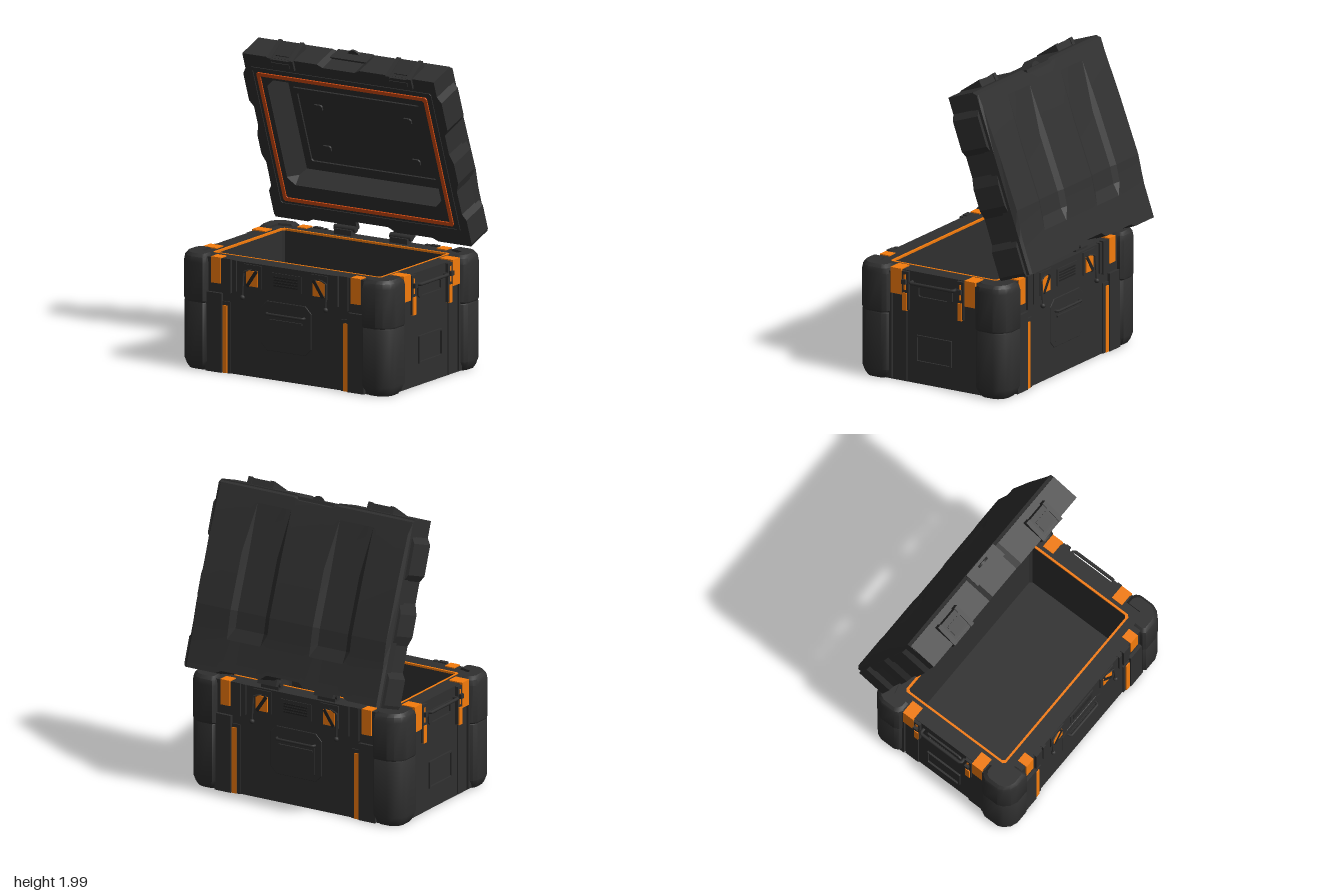
import * as THREE from 'three';
import { toCreasedNormals } from 'three/addons/utils/BufferGeometryUtils.js';

const dark = new THREE.MeshStandardMaterial({ color: 0x303030 });
const darkThin = new THREE.MeshStandardMaterial({ color: 0x303030, side: THREE.DoubleSide });
const black = new THREE.MeshStandardMaterial({ color: 0x222222 });
const orange = new THREE.MeshStandardMaterial({ color: 0xf57c0c });
const rust = new THREE.MeshStandardMaterial({ color: 0xd84c10 });

function add(parent, name, geo, mat, x = 0, y = 0, z = 0) {
  const m = new THREE.Mesh(geo, mat);
  m.name = name;
  m.position.set(x, y, z);
  parent.add(m);
  return m;
}
const box = (p, name, w, h, d, x, y, z, mat = dark) => add(p, name, new THREE.BoxGeometry(w, h, d), mat, x, y, z);
const vec2s = list => list.map(([x, y]) => new THREE.Vector2(x, y));

function group(parent, name) {
  const g = new THREE.Group();
  g.name = name;
  parent.add(g);
  return g;
}

// Rectangle with cut corners, as a list of points
function cutRect(w, h, c, cy = 0) {
  const a = w / 2, b = h / 2;
  return vec2s([[-a + c, -b], [a - c, -b], [a, -b + c], [a, b - c], [a - c, b], [-a + c, b], [-a, b - c], [-a, -b + c]]
    .map(([x, y]) => [x, y + cy]));
}

function plate(outline, holes, depth, bevel = 0) {
  const s = new THREE.Shape(outline);
  holes.forEach(h => s.holes.push(new THREE.Path(h)));
  return new THREE.ExtrudeGeometry(s, {
    depth, bevelEnabled: bevel > 0, bevelSize: bevel, bevelThickness: bevel, bevelOffset: -bevel, bevelSegments: 2,
  });
}

// Stack of horizontal sections: levels are [y, scale about (cx, cz)]
function loft(points, levels, cx, cz) {
  const pts = THREE.ShapeUtils.isClockWise(points) ? points.slice() : points.slice().reverse();
  const n = pts.length, pos = [], idx = [];
  levels.forEach(([y, s]) => pts.forEach(p => pos.push(cx + (p.x - cx) * s, y, cz + (p.y - cz) * s)));
  for (let l = 0; l < levels.length - 1; l++) {
    for (let i = 0; i < n; i++) {
      const a = l * n + i, b = l * n + (i + 1) % n;
      idx.push(a, b, b + n, a, b + n, a + n);
    }
  }
  const top = (levels.length - 1) * n;
  THREE.ShapeUtils.triangulateShape(pts, []).forEach(t => {
    const f = THREE.ShapeUtils.isClockWise(t.map(i => pts[i])) ? t : [t[0], t[2], t[1]];
    idx.push(top + f[0], top + f[1], top + f[2], f[0], f[2], f[1]);
  });
  const g = new THREE.BufferGeometry();
  g.setAttribute('position', new THREE.Float32BufferAttribute(pos, 3));
  g.setIndex(idx);
  return toCreasedNormals(g, 0.6);
}

function tube(points, r) {
  const curve = new THREE.CatmullRomCurve3(points.map(p => new THREE.Vector3(...p)), false, 'catmullrom', 0.1);
  return new THREE.TubeGeometry(curve, 32, r, 8);
}

// Fittings of a long wall, built facing +z
function longWall(g, z) {
  for (const s of [-1, 1]) {
    box(g, 'rimClip', 0.07, 0.168, 0.07, s * 0.525, 0.653, z - 0.027, orange);
    box(g, 'wideRib', 0.06, 0.22, 0.03, s * 0.44, 0.628, z);
    box(g, 'narrowRib', 0.025, 0.2, 0.025, s * 0.383, 0.635, z);
    box(g, 'stripFrame', 0.065, 0.46, 0.016, s * 0.447, 0.23, z);
    box(g, 'lowerPad', 0.12, 0.51, 0.04, s * 0.535, 0.255, z);
    box(g, 'colourStrip', 0.033, 0.435, 0.03, s * 0.455, 0.2185, z, orange);
    box(g, 'latchSeat', 0.13, 0.15, 0.016, s * 0.25, 0.645, z);
    box(g, 'latchCatch', 0.085, 0.1, 0.03, s * 0.25, 0.633, z, orange);
    box(g, 'catchBar', 0.022, 0.125, 0.038, s * 0.25, 0.633, z, black).rotation.z = s * 0.6;
    add(g, 'latchBail', tube([[s * 0.25, 0.69, z + 0.005], [s * 0.31, 0.67, z + 0.015], [s * 0.313, 0.51, z + 0.026]], 0.006), dark);
    add(g, 'bailKnob', new THREE.SphereGeometry(0.016, 12, 8), dark, s * 0.313, 0.508, z + 0.026);
  }
  add(g, 'centrePanel', plate(cutRect(0.38, 0.32, 0.045, 0.345), [], 0.004, 0.004), dark, 0, 0, z - 0.004);
  add(g, 'gripRecess', plate(cutRect(0.28, 0.2, 0.01, 0.32), [], 0.003), dark, 0, 0, z + 0.003);
  add(g, 'gripLip', tube([[-0.14, 0.425, z], [-0.13, 0.425, z + 0.025], [0.13, 0.425, z + 0.025], [0.14, 0.425, z]], 0.009), dark);
  box(g, 'lowerLip', 0.25, 0.012, 0.02, 0, 0.385, z + 0.006);
  box(g, 'ventFrame', 0.23, 0.11, 0.012, 0, 0.635, z);
  for (let i = 0; i < 4; i++) box(g, 'ventSlat', 0.18, 0.009, 0.02, 0, 0.61 + i * 0.018, z, black);
}

// Fittings of an end wall, built facing +z
function endWall(g, z) {
  for (const s of [-1, 1]) {
    box(g, 'rimClip', 0.08, 0.168, 0.1, s * 0.275, 0.653, z - 0.032, orange);
    box(g, 'sideRib', 0.035, 0.7, 0.034, s * 0.325, 0.36, z);
    box(g, 'sidePad', 0.1, 0.56, 0.018, s * 0.25, 0.285, z);
    box(g, 'handleMount', 0.05, 0.25, 0.04, s * 0.205, 0.6, z);
    box(g, 'mountTab', 0.032, 0.115, 0.054, s * 0.205, 0.528, z, orange);
    box(g, 'mountStripe', 0.014, 0.1, 0.046, s * 0.205, 0.655, z, orange);
    box(g, 'mountLug', 0.03, 0.03, 0.08, s * 0.205, 0.66, z);
  }
  add(g, 'handlePanel', plate(cutRect(0.28, 0.09, 0.015, 0.61), [cutRect(0.22, 0.065, 0.01, 0.607)], 0.012), dark, 0, 0, z);
  add(g, 'carryHandle', tube([[-0.16, 0.66, z - 0.01], [-0.155, 0.66, z + 0.036], [0.155, 0.66, z + 0.036], [0.16, 0.66, z - 0.01]], 0.011), dark);
  add(g, 'squareFrame', plate(cutRect(0.262, 0.178, 0.004, 0.23), [cutRect(0.24, 0.156, 0.004, 0.23)], 0.012), dark, 0, 0, z);
}

function buildBase(root) {
  const base = group(root, 'base');
  base.position.z = 0.075;
  const cavity = cutRect(1.24, 0.77, 0.015);
  add(base, 'walls', plate(cutRect(1.476, 1.02, 0.05), [cavity], 0.73), dark).rotation.x = -Math.PI / 2;
  box(base, 'floor', 1.3, 0.06, 0.83, 0, 0.031, 0);
  const seal = add(base, 'rimSeal', plate(cutRect(1.265, 0.795, 0.015), [cutRect(1.236, 0.766, 0.015)], 0.013), orange, 0, 0.719, 0);
  seal.rotation.x = -Math.PI / 2;

  // Corner bumpers, in a lower and an upper piece
  const corner = [[0.585, 0.46], [0.585, 0.535], [0.6, 0.553], [0.695, 0.553], [0.74, 0.535], [0.775, 0.5],
    [0.79, 0.465], [0.79, 0.36], [0.775, 0.33], [0.74, 0.31], [0.69, 0.31], [0.69, 0.43]];
  for (const sx of [-1, 1]) for (const sz of [-1, 1]) {
    const pts = vec2s(corner.map(([x, z]) => [sx * x, sz * z]));
    add(base, 'lowerBumper', loft(pts, [[0, 0.68], [0.02, 0.82], [0.06, 0.97], [0.43, 0.97], [0.438, 0.94]], sx * 0.69, sz * 0.445), dark);
    add(base, 'upperBumper', loft(pts, [[0.436, 0.95], [0.446, 1], [0.69, 1], [0.725, 0.93], [0.745, 0.75]], sx * 0.69, sz * 0.445), dark);
  }
  for (let i = 0; i < 2; i++) {
    const long = group(base, i ? 'backFittings' : 'frontFittings');
    long.rotation.y = i * Math.PI;
    longWall(long, 0.51);
    const end = group(base, i ? 'rightFittings' : 'leftFittings');
    end.rotation.y = Math.PI / 2 + i * Math.PI;
    endWall(end, 0.738);
  }
}

// Side profile swept along x; profile points are [z, y]
function sweepX(profile, width) {
  const g = plate(vec2s(profile), [], width);
  g.rotateY(-Math.PI / 2);
  g.translate(width / 2, 0, 0);
  return g;
}

// Lid: local y runs from hinge to front edge, local -z is the outside
function buildLid(root) {
  const lid = group(root, 'lid');
  lid.position.set(-0.01, 0.77, -0.413);
  lid.rotation.x = 0.34;

  const half = [[0.12, 0.05], [0.17, 0.02], [0.45, 0.02], [0.49, 0], [0.735, 0], [0.743, 0.02], [0.743, 0.19], [0.718, 0.23],
    [0.716, 0.4], [0.74, 0.46], [0.74, 0.6], [0.718, 0.67], [0.718, 0.81], [0.746, 0.85], [0.746, 1.05], [0.72, 1.09],
    [0.72, 1.2], [0.16, 1.2], [0.12, 1.18]];
  const outline = vec2s([...half, ...half.map(([x, y]) => [-x, y]).reverse()]);
  const cy = 0.645;
  add(lid, 'lidRim', plate(outline, [cutRect(1.16, 0.77, 0.05, cy)], 0.195), dark, 0, 0, -0.195);
  add(lid, 'lidSeal', plate(cutRect(1.28, 0.94, 0.01, 0.605), [cutRect(1.23, 0.89, 0.01, 0.605)], 0.014), rust, 0, 0, -0.006);
  add(lid, 'outerLip', plate(cutRect(1.36, 1.01, 0.01, 0.605), [cutRect(1.33, 0.98, 0.01, 0.605)], 0.006), dark);

  // Outer shell with two shallow sunk panels and a notch at the hinge side
  const xs = [0.722, 0.722, 0.705, 0.49, 0.45, 0.41, 0.2, 0.16, 0.12];
  const cols = [...xs, ...xs.map(x => -x).reverse()];
  const rows = [[1.195, 0.15], [1.192, 0.195], [1.18, 0.216], [1.1, 0.225], [0.78, 0.242], [0.41, 0.25], [0.3, 0.237], [0.22, 0.229], [0, 0.228], [-0.002, 0.15]];
  const shell = new THREE.PlaneGeometry(1, 1, cols.length - 1, rows.length - 1);
  for (let r = 0; r < rows.length; r++) for (let c = 0; c < cols.length; c++) {
    const a = Math.abs(cols[c]);
    let [v, n] = rows[r];
    if (r > 7 && a < 0.47) v += a < 0.14 ? 0.05 : 0.02;
    if (r < 3 && a < 0.14) v -= 0.015;
    if (c === 0 || c === cols.length - 1) n = 0.15;
    else if (a > 0.72) n = Math.min(n, 0.215);
    else if (a > 0.18 && a < 0.43 && r > 3 && r < 7) n -= 0.022;
    shell.attributes.position.setXYZ(r * cols.length + c, cols[c], v, -n);
  }
  add(lid, 'lidShell', toCreasedNormals(shell, 0.1), darkThin);

  // Sunk lining: sloping sides, floor, framed panel and four pads
  const slope = new THREE.CylinderGeometry(Math.SQRT1_2, Math.SQRT1_2 * 0.91, 0.145, 4, 1, true);
  slope.rotateY(Math.PI / 4);
  slope.rotateX(Math.PI / 2);
  slope.scale(1.16, 0.77, 1);
  add(lid, 'liningSides', toCreasedNormals(slope, 0.1), darkThin, 0, cy, -0.08);
  add(lid, 'liningFloor', plate(cutRect(1.16, 0.77, 0.05, cy), [], 0.01), dark, 0, 0, -0.16);
  add(lid, 'panelFrame', plate(cutRect(1.01, 0.57, 0.01, 0.615), [cutRect(0.94, 0.5, 0.01, 0.615)], 0.012), dark, 0, 0, -0.15);
  for (const s of [-1, 1]) {
    for (const v of [0.47, 0.77]) add(lid, 'liningPad', plate(cutRect(0.065, 0.045, 0.01, v), [], 0.012), dark, s * 0.335, 0, -0.15);

    // Front latches
    const latch = group(lid, 'lidLatch');
    latch.position.x = s * 0.445 + 0.015;
    add(latch, 'latchBody', sweepX([[0.013, 1.13], [0.013, 1.195], [-0.14, 1.242], [-0.15, 1.18], [0, 1.13]], 0.19), dark);
    for (const k of [-1, 1]) {
      add(latch, 'latchArm', sweepX([[0.016, 1.14], [0.016, 1.203], [-0.145, 1.248], [-0.155, 1.19], [0, 1.14]], 0.03), dark, k * 0.082);
    }
    add(latch, 'latchLever', sweepX([[-0.02, 1.18], [-0.02, 1.21], [-0.1, 1.236], [-0.1, 1.19]], 0.1), dark);
    box(latch, 'latchHook', 0.13, 0.03, 0.012, 0, 1.16, 0.012);
  }
  // Grip plate with a thin round tab
  box(lid, 'gripPlate', 0.27, 0.02, 0.1, 0, 1.181, -0.165);
  add(lid, 'gripTab', new THREE.CylinderGeometry(0.048, 0.048, 0.014, 24), dark, 0, 1.17, -0.188).rotation.x = Math.PI / 2;
}

function buildHinges(root) {
  for (const s of [-1, 1]) {
    const hinge = group(root, 'hinge');
    hinge.position.set(s * 0.21, 0, -0.4);
    add(hinge, 'hingeBarrel', new THREE.CylinderGeometry(0.02, 0.02, 0.16, 16), dark, 0, 0.768, 0).rotation.z = Math.PI / 2;
    box(hinge, 'hingeFoot', 0.13, 0.05, 0.05, 0, 0.74, 0.01);
    box(hinge, 'hingeLeaf', 0.14, 0.06, 0.03, 0, 0.79, -0.03).rotation.x = 0.34;
  }
}

export function createModel() {
  const model = new THREE.Group();
  model.name = 'openToolChest';
  buildBase(model);
  buildLid(model);
  buildHinges(model);
  return model;
}
